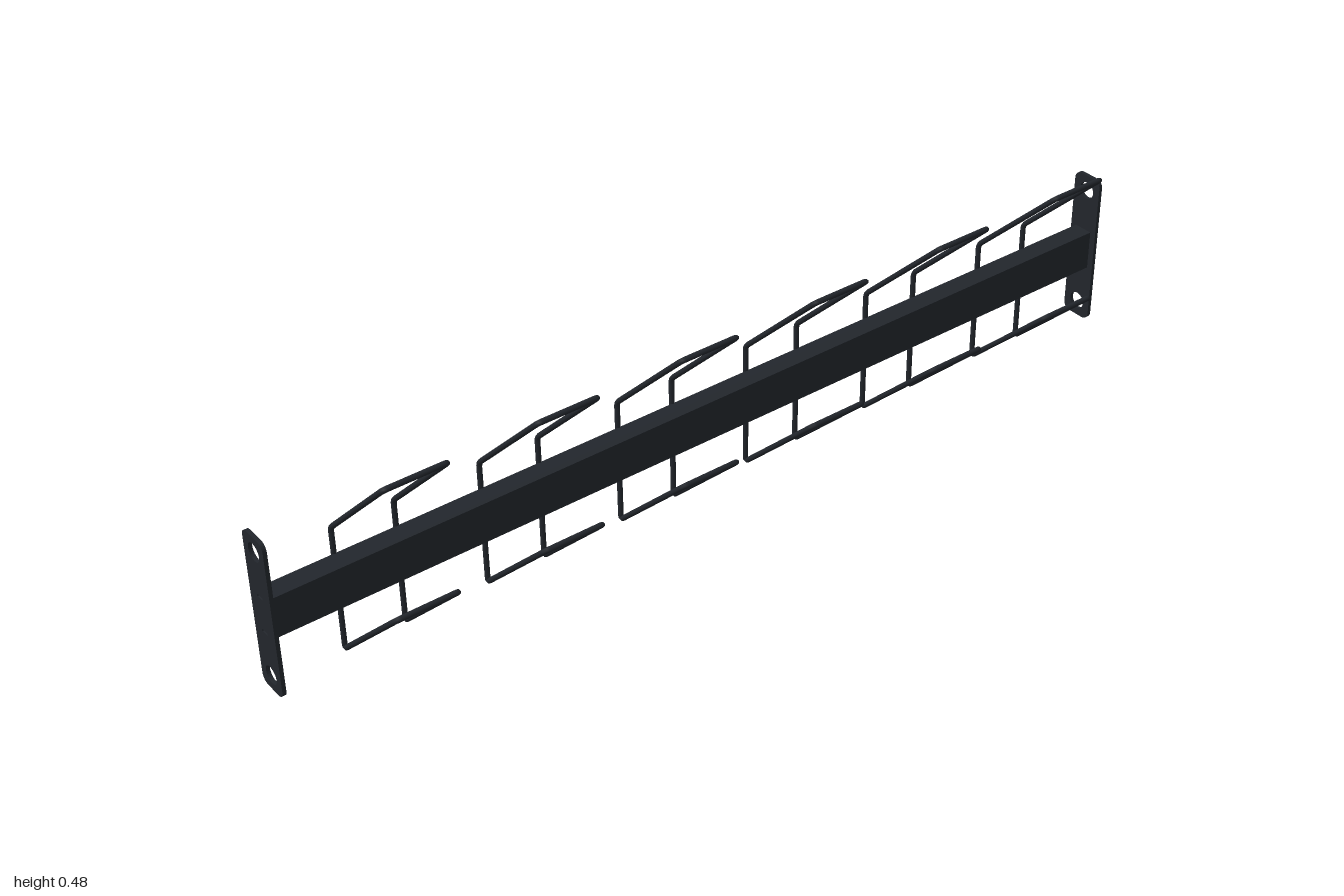
import * as THREE from 'three';

const steel = new THREE.MeshStandardMaterial({ color: 0x22262c });
const MID_Y = 0.18, MID_Z = -0.0745;

// Rectangle outline, optionally with rounded corners, centred on the origin
function roundedRect(path, w, h, r) {
  const x = w / 2, y = h / 2;
  path.moveTo(-x + r, -y);
  path.lineTo(x - r, -y);
  if (r) path.absarc(x - r, -y + r, r, -Math.PI / 2, 0);
  path.lineTo(x, y - r);
  if (r) path.absarc(x - r, y - r, r, 0, Math.PI / 2);
  path.lineTo(-x + r, y);
  if (r) path.absarc(-x + r, y - r, r, Math.PI / 2, Math.PI);
  path.lineTo(-x, -y + r);
  if (r) path.absarc(-x + r, -y + r, r, Math.PI, Math.PI * 1.5);
  return path;
}

// Extrude a z/y section along x, centred at the given x
function extrudeAlongX(name, shape, length, x) {
  const geo = new THREE.ExtrudeGeometry(shape, { depth: length, bevelEnabled: false, curveSegments: 12 });
  geo.translate(0, 0, -length / 2);
  geo.rotateY(Math.PI / 2);
  const mesh = new THREE.Mesh(geo, steel);
  mesh.name = name;
  mesh.position.set(x, MID_Y, MID_Z);
  return mesh;
}

// Closed wire path through corners, each rounded by a small bend
function bentLoop(corners, bend) {
  const path = new THREE.CurvePath();
  const n = corners.length;
  const towards = (a, b) => a.clone().add(b.clone().sub(a).setLength(bend));
  corners.forEach((p, i) => {
    const prev = corners[(i + n - 1) % n], next = corners[(i + 1) % n];
    path.add(new THREE.QuadraticBezierCurve3(towards(p, prev), p, towards(p, next)));
    path.add(new THREE.LineCurve3(towards(p, next), towards(next, p)));
  });
  return path;
}

export function createModel() {
  const model = new THREE.Group();
  model.name = 'wallRack';

  // Hollow rectangular rail
  const section = roundedRect(new THREE.Shape(), 0.043, 0.087, 0);
  section.holes.push(roundedRect(new THREE.Path(), 0.039, 0.083, 0));
  model.add(extrudeAlongX('rail', section, 1.984, 0));

  // End plates with two screw holes and two narrow slots
  const plate = roundedRect(new THREE.Shape(), 0.071, 0.343, 0.017);
  for (const s of [-1, 1]) {
    plate.holes.push(new THREE.Path().absarc(0, s * 0.137, 0.019, 0, Math.PI * 2));
    const slot = new THREE.Path();
    slot.setFromPoints([[-0.009, -0.0025], [0.009, -0.0025], [0.009, 0.0025], [-0.009, 0.0025]]
      .map(([x, y]) => new THREE.Vector2(x, y + s * 0.039)));
    plate.holes.push(slot);
  }
  model.add(extrudeAlongX('leftEndPlate', plate, 0.008, 0.996));
  model.add(extrudeAlongX('rightEndPlate', plate, 0.008, -0.996));

  // Bent wire holders: vertical legs behind the rail, sloping arms in front
  const h = 0.064;
  const side = [[0.4775, 0.1045], [0.279, -0.0995], [0.003, -0.0995], [0.2, 0.1045]];
  const corners = [
    ...side.map(([y, z]) => new THREE.Vector3(h, y, z)),
    ...side.slice().reverse().map(([y, z]) => new THREE.Vector3(-h, y, z)),
  ];
  const wire = new THREE.TubeGeometry(bentLoop(corners, 0.01), 400, 0.0055, 8, true);
  for (let i = 0; i < 6; i++) {
    const holder = new THREE.Mesh(wire, steel);
    holder.name = `wireHolder${i + 1}`;
    holder.position.x = -0.775 + i * 0.309;
    model.add(holder);
  }
  return model;
}
